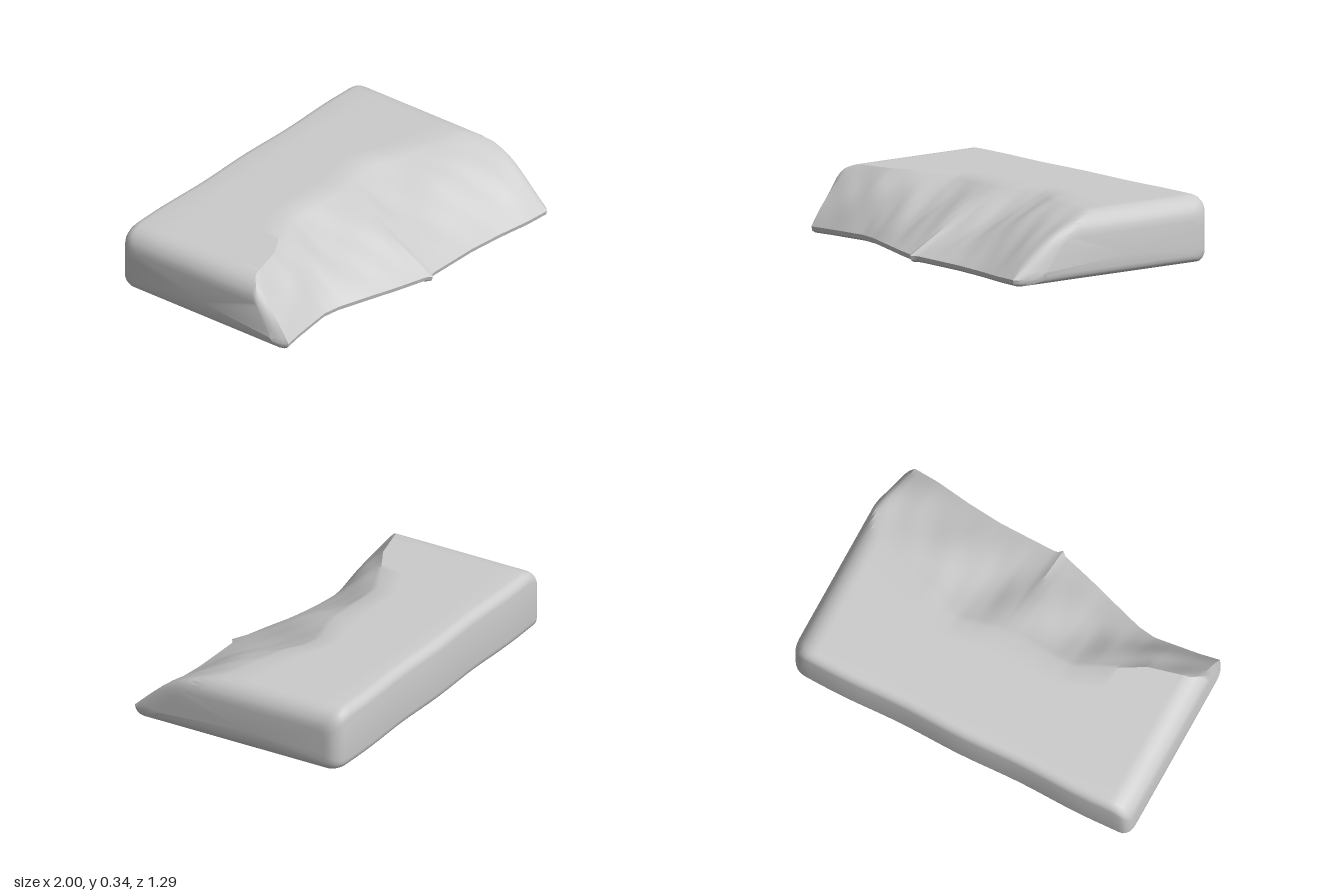
import * as THREE from 'three';
import { toCreasedNormals } from 'three/addons/utils/BufferGeometryUtils.js';

const H = 0.345, BACK = -0.65;

// [x, value] tables, read with linear interpolation
const ridgeLine = [[-1, 0.2], [-0.9, 0.19], [-0.7, 0.14], [-0.5, 0.03], [-0.34, -0.05], [0, -0.04],
  [0.12, -0.05], [0.3, -0.1], [0.4, -0.07], [0.5, -0.01], [0.8, 0.07], [0.9, 0.1], [1, 0.12]];
const frontLine = [[-1, 0.36], [-0.985, 0.41], [-0.96, 0.45], [-0.85, 0.43], [-0.6, 0.4], [-0.5, 0.415],
  [-0.3, 0.48], [-0.15, 0.53], [0.02, 0.58], [0.045, 0.605], [0.07, 0.58], [0.4, 0.585], [0.6, 0.605],
  [0.8, 0.635], [0.95, 0.645], [0.975, 0.59], [1, 0.48]];
const bulgeLine = [[-1, 0.03], [-0.8, 0.02], [-0.45, 0.03], [-0.25, 0.0], [0, 0.025], [0.2, 0.0],
  [0.5, 0.03], [0.8, 0.06], [1, 0.06]];

function lookup(table, x) {
  for (let i = 1; i < table.length; i++) {
    const [x0, v0] = table[i - 1], [x1, v1] = table[i];
    if (x <= x1) return v0 + (v1 - v0) * (x - x0) / (x1 - x0);
  }
  return table[table.length - 1][1];
}

// How far a rounded edge of radius r pulls in at distance s from the end
const inset = (s, r) => (s >= r ? 0 : r - Math.sqrt(r * r - (r - s) ** 2));

// Closed outline [z, y] of the slab at x: bottom, rounded back, top, broken slope, lip
function section(x) {
  const s = 1 - Math.abs(x);
  const top = H - inset(s, 0.12);
  const bottom = inset(s, 0.045);
  const back = BACK + inset(s, x > 0 ? 0.09 : 0.055) + 0.004 * (1 - Math.cos(9 * x));
  const ridge = lookup(ridgeLine, x), front = lookup(frontLine, x), bulge = lookup(bulgeLine, x);
  const r = 0.055, lip = 0.035, pts = [];
  for (let i = 0; i <= 4; i++) pts.push([front - 0.025 + (back + r - front + 0.025) * i / 4, bottom]);
  for (let i = 1; i <= 5; i++) {
    const a = i / 5 * Math.PI / 2;
    pts.push([back + r - r * Math.sin(a), bottom + r - r * Math.cos(a)]);
  }
  for (let i = 0; i <= 5; i++) {
    const a = i / 5 * Math.PI / 2;
    pts.push([back + r - r * Math.cos(a), top - r + r * Math.sin(a)]);
  }
  for (let i = 1; i < 5; i++) pts.push([back + r + (ridge - back - r) * i / 5, top]);
  for (let i = 0; i <= 14; i++) {
    const t = i / 14, hump = Math.sin(Math.PI * t);
    const ripple = 0.008 * Math.sin(11 * x + 5 * t) + 0.003 * Math.sin(31 * x - 7 * t);
    const slope = H + (lip - H) * t + (bulge + ripple) * hump - inset(s, 0.05) * 0.8 * (1 - t);
    pts.push([ridge + (front - ridge) * t, Math.max(bottom + 0.01, Math.min(top, slope))]);
  }
  pts.push([front - 0.006, bottom + 0.012]);
  return pts;
}

// Skin neighbouring sections together and close both ends
function slabGeometry() {
  const ends = [0, 0.004, 0.012, 0.025, 0.04, 0.06, 0.09, 0.12];
  const xs = ends.map(e => e - 1);
  for (let i = 1; i < 80; i++) xs.push(-0.88 + 1.76 * i / 80);
  xs.push(...ends.map(e => 1 - e).reverse());

  const pos = [], index = [];
  const loops = xs.map(section), n = loops[0].length;
  loops.forEach((loop, i) => loop.forEach(([z, y]) => pos.push(xs[i], y, z)));
  for (let i = 0; i < xs.length - 1; i++) {
    for (let j = 0; j < n; j++) {
      const k = (j + 1) % n;
      const a = i * n + j, b = i * n + k, c = a + n, d = b + n;
      index.push(a, b, c, b, d, c);
    }
  }
  for (const i of [0, xs.length - 1]) {
    const center = pos.length / 3;
    pos.push(xs[i], 0.1, -0.1);
    for (let j = 0; j < n; j++) {
      const a = i * n + j, b = i * n + (j + 1) % n;
      if (i === 0) index.push(center, b, a);
      else index.push(center, a, b);
    }
  }
  const geometry = new THREE.BufferGeometry();
  geometry.setAttribute('position', new THREE.Float32BufferAttribute(pos, 3));
  geometry.setIndex(index);
  return toCreasedNormals(geometry, 0.6);
}

export function createModel() {
  const group = new THREE.Group();
  group.name = 'brokenSlab';
  const material = new THREE.MeshStandardMaterial({ color: 0xcccccc });
  const slab = new THREE.Mesh(slabGeometry(), material);
  slab.name = 'slab';
  group.add(slab);
  return group;
}
